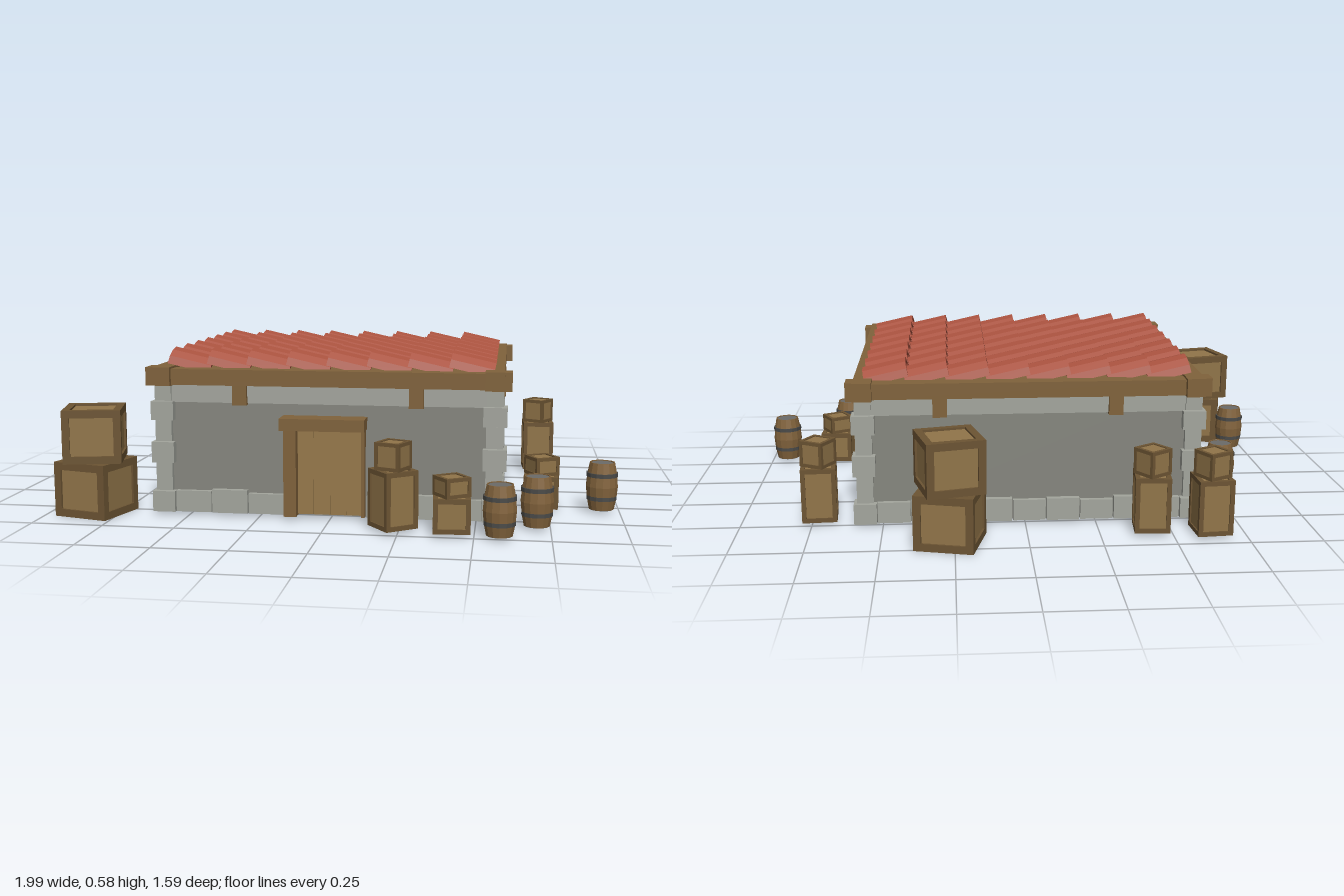
import * as THREE from 'three';

const mat = (color) => new THREE.MeshStandardMaterial({ color, flatShading: true });
const wallMat = mat(0x85867e), stoneMat = mat(0xa3a59d), beamMat = mat(0x80623b);
const doorMat = mat(0x96784a), tileMat = mat(0xa9523f), frameMat = mat(0x6c5433);
const plankMat = mat(0x917549), barrelMat = mat(0x82633c), hoopMat = mat(0x4a4a48), lidMat = mat(0x6b6b69);

// Box given by its minimum and maximum corners
function box(parent, name, material, x0, x1, y0, y1, z0, z1) {
  const m = new THREE.Mesh(new THREE.BoxGeometry(x1 - x0, y1 - y0, z1 - z0), material);
  m.position.set((x0 + x1) / 2, (y0 + y1) / 2, (z0 + z1) / 2);
  m.name = name;
  parent.add(m);
  return m;
}

// House extents
const X0 = -0.6, X1 = 0.57, Z0 = -0.495, Z1 = 0.535;

function buildWalls() {
  const g = new THREE.Group();
  g.name = 'walls';
  box(g, 'wallBlock', wallMat, X0, X1, 0.01, 0.5, Z0, Z1);
  box(g, 'upperBand', stoneMat, X0 - 0.01, X1 + 0.01, 0.398, 0.46, Z0 - 0.01, Z1 + 0.01);

  // Corner stones, alternating in size
  const levels = [0.01, 0.085, 0.185, 0.26, 0.335, 0.403, 0.46];
  for (const [cx, sx] of [[X0, 1], [X1, -1]]) for (const [cz, sz] of [[Z0, 1], [Z1, -1]])
    for (let i = 0; i < 6; i++) {
      const out = i % 2 ? 0.018 : 0.03, inn = i % 2 ? 0.04 : 0.05;
      const xs = [cx - sx * out, cx + sx * inn].sort((a, b) => a - b);
      const zs = [cz - sz * out, cz + sz * (inn - 0.015)].sort((a, b) => a - b);
      box(g, 'cornerStone', stoneMat, xs[0], xs[1], levels[i], levels[i + 1] - 0.002, zs[0], zs[1]);
    }

  // Base stones along each side, leaving the doorway free
  const heights = [0.085, 0.092, 0.081, 0.09];
  const row = (a, b, n, place) => {
    const w = (b - a) / n;
    for (let i = 0; i < n; i++) place(a + i * w + 0.002, a + (i + 1) * w - 0.002, heights[i % 4], 0.018 + 0.004 * (i % 2));
  };
  row(X0 + 0.05, -0.16, 3, (a, b, h, d) => box(g, 'baseStone', stoneMat, a, b, 0.01, h, Z1 - 0.04, Z1 + d));
  row(0.125, X1 - 0.05, 3, (a, b, h, d) => box(g, 'baseStone', stoneMat, a, b, 0.01, h, Z1 - 0.04, Z1 + d));
  row(X0 + 0.05, X1 - 0.05, 9, (a, b, h, d) => box(g, 'baseStone', stoneMat, a, b, 0.01, h, Z0 - d, Z0 + 0.04));
  row(Z0 + 0.035, Z1 - 0.035, 9, (a, b, h, d) => {
    box(g, 'baseStone', stoneMat, X1 - 0.04, X1 + d, 0.01, h, a, b);
    box(g, 'baseStone', stoneMat, X0 - d, X0 + 0.04, 0.01, h, a, b);
  });
  return g;
}

function buildBeams() {
  const g = new THREE.Group();
  g.name = 'roofBeams';
  // Crossing beams whose ends stick out at the corners
  for (const z of [-0.53, 0.5]) box(g, 'longBeam', beamMat, -0.625, 0.595, 0.46, 0.515, z, z + 0.065);
  for (const x of [-0.62, 0.525]) box(g, 'sideBeam', beamMat, x, x + 0.065, 0.458, 0.522, -0.55, 0.583);
  for (const x of [-0.645, 0.525]) for (const z of [-0.532, 0.497])
    box(g, 'beamEnd', beamMat, x, x + 0.09, 0.456, 0.52, z, z + 0.07);
  // Short posts under the beams
  for (const x of [-0.315, 0.295]) for (const z of [Z0, Z1])
    box(g, 'beamPost', beamMat, x - 0.025, x + 0.025, 0.392, 0.462, z - 0.025, z + 0.025);
  for (const z of [-0.165, 0.21]) for (const x of [X0, X1])
    box(g, 'beamPost', beamMat, x - 0.022, x + 0.022, 0.395, 0.462, z - 0.025, z + 0.025);
  return g;
}

function buildRoof() {
  const g = new THREE.Group();
  g.name = 'tiledRoof';
  box(g, 'roofPanel', beamMat, -0.59, 0.56, 0.48, 0.512, -0.48, 0.52);
  // Arched tile section pushed out along x
  const pts = [], n = 6;
  const arc = (r, h, i) => new THREE.Vector2(r * Math.cos(Math.PI * i / n), h * Math.sin(Math.PI * i / n));
  for (let i = 0; i <= n; i++) pts.push(arc(0.07, 0.054, i));
  for (let i = n; i >= 0; i--) pts.push(arc(0.057, 0.041, i));
  const geo = new THREE.ExtrudeGeometry(new THREE.Shape(pts), { depth: 0.152, bevelEnabled: false });
  geo.rotateY(Math.PI / 2);
  for (let r = 0; r < 7; r++) for (let c = 0; c < 8; c++) {
    const t = new THREE.Mesh(geo, tileMat);
    t.name = 'roofTile';
    t.position.set(-0.582 + 0.1405 * c, 0.529, -0.408 + 0.1413 * r);
    t.rotation.z = -0.22;
    g.add(t);
  }
  return g;
}

function buildDoor() {
  const g = new THREE.Group();
  g.name = 'door';
  for (let i = 0; i < 4; i++) {
    const x = -0.115 + i * 0.0575;
    box(g, 'doorPlank', doorMat, x, x + 0.0565, 0.015, 0.32, 0.53, 0.552);
  }
  box(g, 'doorPost', beamMat, -0.157, -0.113, 0.012, 0.32, 0.53, 0.59);
  box(g, 'doorPost', beamMat, 0.11, 0.121, 0.012, 0.32, 0.53, 0.57);
  box(g, 'lintel', beamMat, -0.165, 0.126, 0.317, 0.358, 0.53, 0.622);
  return g;
}

// Crate with planked core and twelve edge bars, standing on y = 0
function buildCrate(w, h, angle) {
  const g = new THREE.Group();
  g.name = 'crate';
  g.rotation.y = angle;
  const b = w * 0.13, a = w / 2, d = b * 0.3;
  box(g, 'crateCore', plankMat, -a + d, a - d, d, h - d, -a + d, a - d);
  for (const s of [0, 1]) {
    const p = s ? a - b : -a;
    for (const y of [0, h - b]) {
      box(g, 'crateBar', frameMat, -a, a, y, y + b, p, p + b);
      box(g, 'crateBar', frameMat, p, p + b, y, y + b, -a + b, a - b);
    }
    for (const q of [-a, a - b]) box(g, 'cratePost', frameMat, p, p + b, b, h - b, q, q + b);
  }
  return g;
}

function buildStack(x, z, y, [w, h, w2, h2], turn, turn2) {
  const g = new THREE.Group();
  g.name = 'crateStack';
  const top = buildCrate(w2, h2, turn2);
  top.position.y = h;
  g.add(buildCrate(w, h, turn), top);
  g.position.set(x, y, z);
  return g;
}

function buildBarrel(x, z) {
  const g = new THREE.Group();
  g.name = 'barrel';
  const lathe = (name, material, pts) => {
    const m = new THREE.Mesh(new THREE.LatheGeometry(pts.map(p => new THREE.Vector2(...p)), 14), material);
    m.name = name;
    g.add(m);
  };
  lathe('staves', barrelMat, [[0.044, 0], [0.052, 0.04], [0.056, 0.083], [0.052, 0.126], [0.044, 0.168], [0.04, 0.168], [0.04, 0.16]]);
  for (const [y, r] of [[0.035, 0.053], [0.118, 0.0555]])
    lathe('hoop', hoopMat, [[r - 0.006, y], [r, y], [r, y + 0.014], [r - 0.006, y + 0.014]]);
  for (const y of [0.002, 0.162]) {
    const lid = new THREE.Mesh(new THREE.CylinderGeometry(0.043, 0.043, 0.006, 14), lidMat);
    lid.name = 'barrelLid';
    lid.position.y = y;
    g.add(lid);
  }
  g.position.set(x, 0.012, z);
  return g;
}

export function createModel() {
  const model = new THREE.Group();
  model.name = 'tiledHouse';
  model.add(buildWalls(), buildBeams(), buildRoof(), buildDoor());

  // Stack sizes: lower width and height, upper width and height
  const big = [0.205, 0.192, 0.2, 0.186], tall = [0.122, 0.195, 0.092, 0.093], low = [0.122, 0.115, 0.092, 0.066];
  model.add(
    buildStack(0.265, -0.68, 0, big, -0.24, 0.24),
    buildStack(-0.835, 0.565, 0, big, -0.26, 0.24),
    buildStack(-0.63, -0.655, 0.012, tall, 0.08, 0.5),
    buildStack(-0.43, -0.615, 0.012, tall, -0.08, 0.6),
    buildStack(0.725, -0.44, 0.012, tall, 0.06, -0.5),
    buildStack(0.23, 0.675, 0.012, tall, 0.65, -0.4),
    buildStack(0.425, 0.692, 0.012, low, 0.07, 0.6),
    buildStack(0.725, 0.29, 0.012, low, -0.06, 0.5),
  );
  for (const [x, z] of [[-0.775, -0.165], [-0.942, 0.365], [0.936, 0.31], [0.704, 0.587], [0.582, 0.735]])
    model.add(buildBarrel(x, z));
  return model;
}
